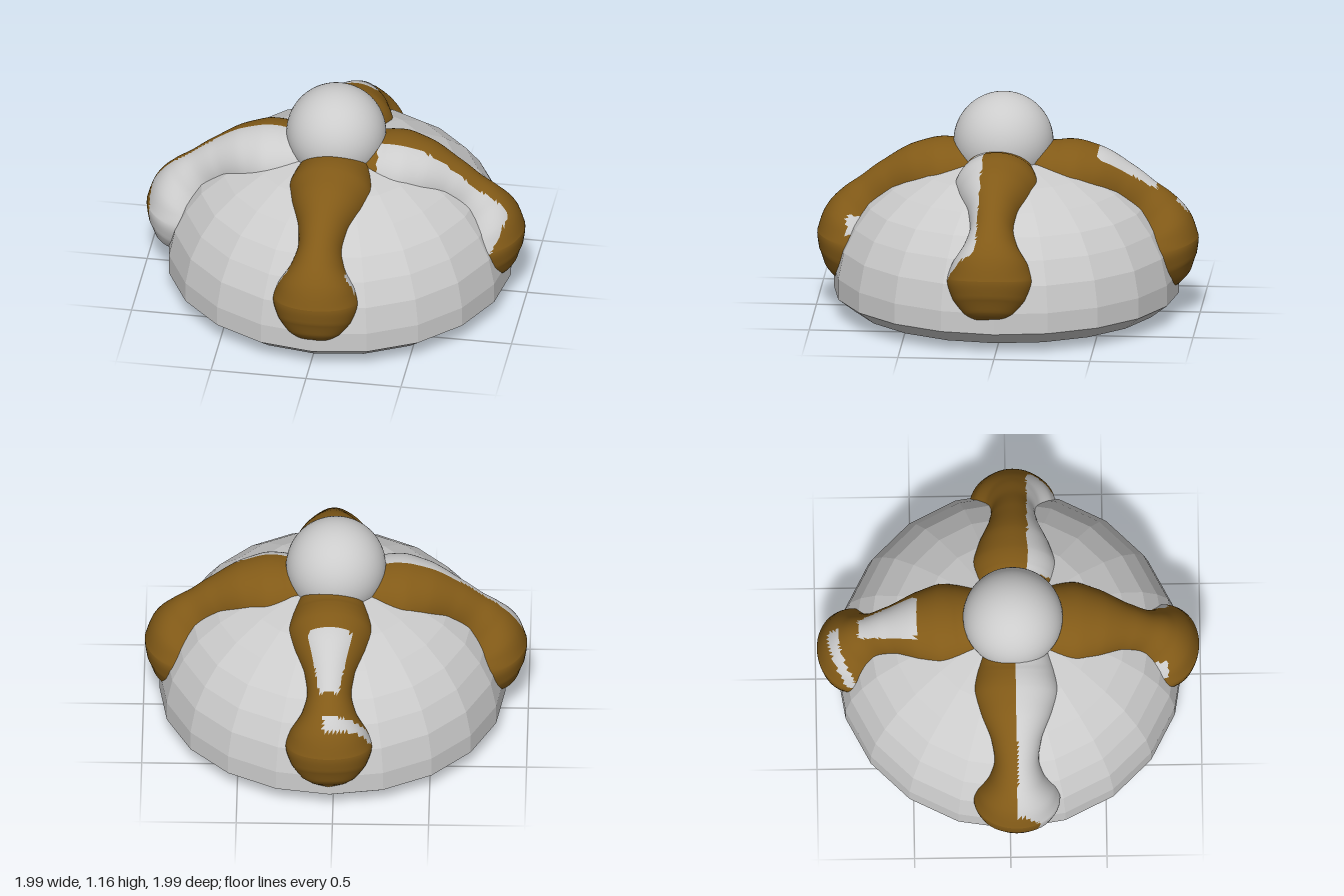
import * as THREE from 'three';

const GLAZE = 0x825a17;
const grey = () => new THREE.MeshStandardMaterial({ color: 0xcccccc, side: THREE.DoubleSide });
const brown = () => new THREE.MeshStandardMaterial({ color: GLAZE, side: THREE.DoubleSide });

// Bone stations: [distance from centre, height, half width, half thickness]
const STATIONS = [
  [0.06, 0.80, 0, 0], [0.08, 0.795, 0.1, 0.09], [0.14, 0.78, 0.17, 0.14],
  [0.24, 0.745, 0.205, 0.18], [0.34, 0.725, 0.22, 0.195], [0.46, 0.705, 0.185, 0.18],
  [0.58, 0.66, 0.132, 0.15], [0.67, 0.60, 0.115, 0.142], [0.74, 0.53, 0.14, 0.162],
  [0.79, 0.45, 0.2, 0.182], [0.805, 0.37, 0.225, 0.193], [0.835, 0.27, 0.195, 0.158],
  [0.865, 0.2, 0.135, 0.1], [0.88, 0.17, 0.075, 0.05], [0.89, 0.157, 0, 0],
];

// Lofted bone lying over the bread towards +z; returns positions, normals and index
function boneGeometry(rings = 84, sides = 56) {
  const path = new THREE.CatmullRomCurve3(STATIONS.map(([r, y]) => new THREE.Vector3(0, y, r)));
  const size = new THREE.CatmullRomCurve3(STATIONS.map(([, , w, t]) => new THREE.Vector3(w, t, 0)));
  const pos = [], index = [];
  for (let i = 0; i <= rings; i++) {
    const u = i / rings, c = path.getPoint(u), s = size.getPoint(u), d = path.getTangent(u);
    const w = i % rings ? Math.max(s.x, 0) : 0, t = i % rings ? Math.max(s.y, 0) : 0;
    for (let j = 0; j < sides; j++) {
      const a = (j / sides) * Math.PI * 2, up = Math.cos(a) * t;
      pos.push(Math.sin(a) * w, c.y + d.z * up, c.z - d.y * up);
      if (i === rings) continue;
      const k = (j + 1) % sides, p = i * sides;
      index.push(p + j, p + sides + j, p + k, p + k, p + sides + j, p + sides + k);
    }
  }
  const g = new THREE.BufferGeometry();
  g.setAttribute('position', new THREE.Float32BufferAttribute(pos, 3));
  g.setIndex(index);
  g.computeVertexNormals();
  return g;
}

// Splits a geometry in two by a rule on triangle centres, keeping smooth normals
function splitFaces(geo, rule) {
  const p = geo.attributes.position, id = geo.index.array, lists = [[], []];
  for (let i = 0; i < id.length; i += 3) {
    const tri = [id[i], id[i + 1], id[i + 2]];
    const mid = (f) => (f(tri[0]) + f(tri[1]) + f(tri[2])) / 3;
    const bare = rule(mid((n) => p.getX(n)), mid((n) => p.getY(n)), mid((n) => p.getZ(n)));
    lists[bare ? 1 : 0].push(...tri);
  }
  return lists.map((list) => {
    const g = new THREE.BufferGeometry();
    g.setAttribute('position', p);
    g.setAttribute('normal', geo.attributes.normal);
    g.setIndex(list);
    return g;
  });
}

// Each bone: name, turn about y, offset, and where the glaze is missing
const BONES = [
  ['frontBone', 0, [0.022, 0],
    (x, y, z) => Math.abs(x) > 0.15 && z > 0.66 && z < 0.83 && y < 0.65 && y > 0.44],
  ['leftBone', Math.PI / 2, [0, 0.035],
    (x, y, z) => x < -0.07 && z > 0.24 && y > 0.38 + Math.max(0, z - 0.85) * 2.4],
  ['backBone', Math.PI, [0.022, 0], (x, y, z) => {
    const patch = z > 0.48 && z < 0.78 && y > 0.6 && Math.abs(x) < 0.115 - (z - 0.48) * 0.22;
    const edge = 0.885 - 2 * x * x;
    return patch || (x > -0.03 && y > 0.4 && z > edge && z < edge + 0.05);
  }],
  ['rightBone', -Math.PI / 2, [0, 0.035], (x, y, z) => x > 0.005 && z < 0.965],
];

export function createModel() {
  const model = new THREE.Group();

  // Faceted bread bun
  const profile = [
    [0, 0], [0.3, 0.002], [0.66, 0.006], [0.81, 0.04], [0.9, 0.11], [0.9, 0.22], [0.87, 0.36],
    [0.81, 0.48], [0.73, 0.585], [0.61, 0.68], [0.45, 0.765], [0.25, 0.825], [0, 0.85],
  ].map(([r, y]) => new THREE.Vector2(r, y));
  const bunMaterial = grey();
  bunMaterial.flatShading = true;
  const bun = new THREE.Mesh(new THREE.LatheGeometry(profile, 20), bunMaterial);
  bun.name = 'bun';
  bun.position.set(0.018, 0, 0.008);
  model.add(bun);

  // Round knob on top
  const knob = new THREE.Mesh(new THREE.SphereGeometry(0.26, 48, 32), grey());
  knob.name = 'knob';
  knob.position.set(0, 0.902, 0.025);
  model.add(knob);

  // Four crossed dough bones, glazed with bare patches
  const shape = boneGeometry();
  for (const [name, turn, [x, z], rule] of BONES) {
    const bone = new THREE.Group();
    bone.name = name;
    const [glazed, bare] = splitFaces(shape, rule);
    const glaze = new THREE.Mesh(glazed, brown());
    glaze.name = name + 'Glaze';
    const dough = new THREE.Mesh(bare, grey());
    dough.name = name + 'BareDough';
    bone.add(glaze, dough);
    bone.rotation.y = turn;
    bone.position.set(x, 0, z);
    model.add(bone);
  }
  return model;
}
